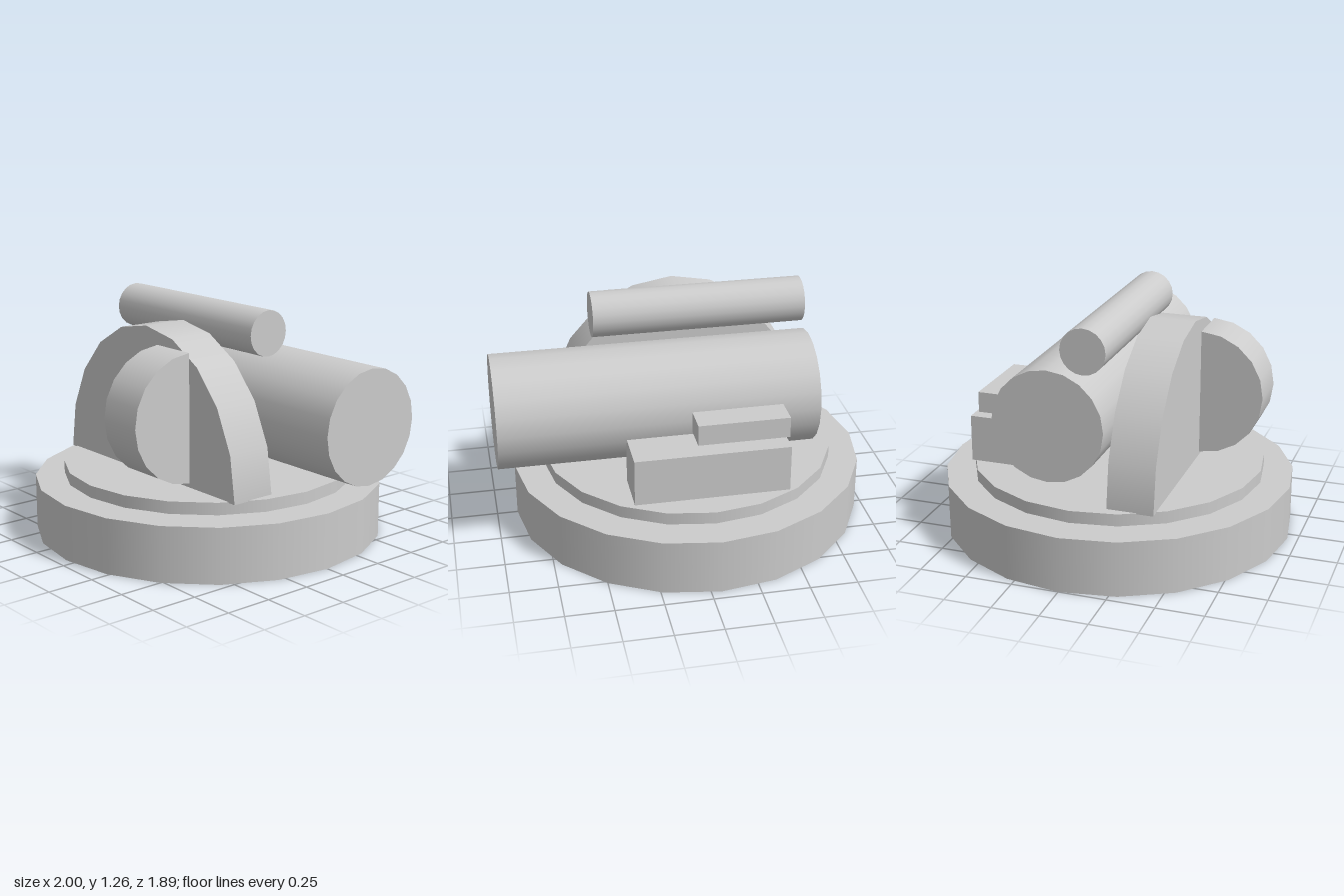
import * as THREE from 'three';
import { mergeGeometries } from 'three/addons/utils/BufferGeometryUtils.js';

const SIDES = 20;

export function createModel() {
  const model = new THREE.Group();
  const material = new THREE.MeshStandardMaterial({ color: 0xcccccc });

  function add(name, geometry, x, y, z) {
    const mesh = new THREE.Mesh(geometry, material);
    mesh.name = name;
    mesh.position.set(x, y, z);
    model.add(mesh);
    return mesh;
  }

  const disc = (r, h) => new THREE.CylinderGeometry(r, r, h, SIDES);

  // Closed half cylinder along y, bulging toward +z, flat cut at z = 0
  function halfDisc(r, h) {
    const round = new THREE.CylinderGeometry(r, r, h, SIDES / 2, 1, false, -Math.PI / 2, Math.PI);
    const cut = new THREE.PlaneGeometry(2 * r, h).rotateY(Math.PI);
    return mergeGeometries([round, cut]);
  }

  // Stepped round base
  add('base', disc(0.945, 0.295), -0.055, 0.1475, 0);
  add('turntable', disc(0.787, 0.065), -0.055, 0.3375, 0);

  // Upright half-round plate, slightly taller than a true half circle
  const plate = halfDisc(1, 0.245).rotateX(-Math.PI / 2).scale(0.706, 0.795, 1);
  add('archPlate', plate, -0.055, 0.365, 0.2925);

  // Half-round boss on the front of the plate
  add('frontBoss', halfDisc(0.34, 0.26).rotateZ(Math.PI / 2), 0.175, 0.735, 0.42);

  // Horizontal tubes
  add('mainBarrel', disc(0.3, 1.67).rotateZ(Math.PI / 2), 0.16, 0.73, -0.175);
  add('upperTube', disc(0.12, 1.125).rotateZ(Math.PI / 2), -0.1125, 1.145, 0.02);

  // Boxes at the back
  add('rearBox', new THREE.BoxGeometry(0.805, 0.25, 0.25), -0.06, 0.525, -0.565);
  add('rearSmallBox', new THREE.BoxGeometry(0.475, 0.11, 0.15), -0.228, 0.735, -0.565);

  return model;
}
